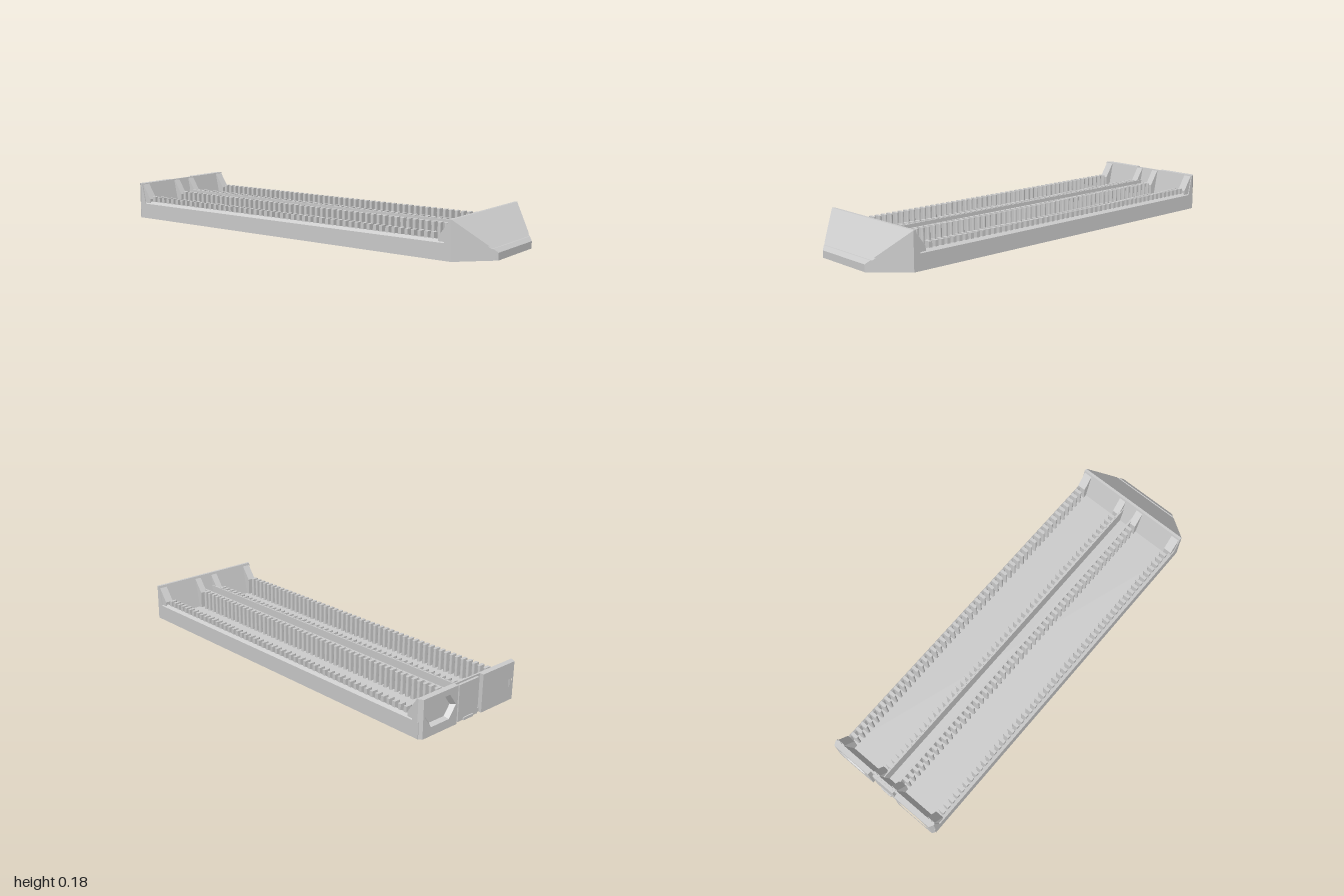
import * as THREE from 'three';
import { mergeGeometries } from 'three/addons/utils/BufferGeometryUtils.js';

const H = 0.177;        // height of the end walls
const FLOOR = 0.018;
const RACK = 0.113;     // height of the slotted racks

// Extrudes a [z, y] profile along x, from x0 to x1.
function bar(points, x0, x1) {
  const shape = new THREE.Shape(points.map(([z, y]) => new THREE.Vector2(z, y)));
  const geo = new THREE.ExtrudeGeometry(shape, { depth: x1 - x0, bevelEnabled: false });
  return geo.rotateY(-Math.PI / 2).translate(x1, 0, 0);
}

function box(x0, x1, y0, y1, z0, z1) {
  return new THREE.BoxGeometry(x1 - x0, y1 - y0, z1 - z0)
    .translate((x0 + x1) / 2, (y0 + y1) / 2, (z0 + z1) / 2);
}

// Moves every vertex by a rule and refreshes the normals.
function reshape(geo, rule) {
  const p = geo.attributes.position;
  const v = new THREE.Vector3();
  for (let i = 0; i < p.count; i++) {
    v.fromBufferAttribute(p, i);
    rule(v);
    p.setXYZ(i, v.x, v.y, v.z);
  }
  geo.computeVertexNormals();
  return geo;
}

export function createModel() {
  const model = new THREE.Group();
  const grey = new THREE.MeshStandardMaterial({ color: 0xcccccc });
  grey.name = 'light grey';
  const add = (name, geo) => {
    const mesh = new THREE.Mesh(geo, grey);
    mesh.name = name;
    model.add(mesh);
  };

  add('floor', box(-0.3, 0.3, 0, FLOOR, -0.985, 0.855));

  // Outer walls with a sloping top, and the two walls of the centre channel
  for (const s of [-1, 1]) {
    const outline = [[0.285, 0], [0.3, 0], [0.3, 0.075], [0.285, 0.088]];
    const shape = new THREE.Shape(outline.map(([x, y]) => new THREE.Vector2(s * x, y)));
    const wall = new THREE.ExtrudeGeometry(shape, { depth: 1.84, bevelEnabled: false });
    add('sideWall', wall.translate(0, 0, -0.985));
    const c = s * 0.035;
    add('channelWall', box(c - 0.005, c + 0.005, 0, RACK - 0.002, -0.96, 0.83));
  }

  // Rows of round-nosed teeth that form the slots
  const r = 0.008;
  const toothRow = (x, direction) => {
    const length = 0.035;
    const plan = new THREE.Shape();
    plan.moveTo(0, -r);
    plan.lineTo(length - r, -r);
    plan.absarc(length - r, 0, r, -Math.PI / 2, Math.PI / 2, false);
    plan.lineTo(0, r);
    const tooth = new THREE.ExtrudeGeometry(plan, {
      depth: RACK - 0.01, bevelEnabled: false, curveSegments: 6,
    }).rotateX(-Math.PI / 2);
    if (direction < 0) tooth.rotateY(Math.PI);
    const teeth = [];
    for (let i = 0; i < 52; i++) teeth.push(tooth.clone().translate(x, 0.01, -0.9 + i * 0.0325));
    return mergeGeometries(teeth);
  };
  for (const s of [-1, 1]) {
    add('outerTeeth', toothRow(s * 0.287, -s));
    add('innerTeeth', toothRow(s * 0.036, s));
  }

  // End walls with sloping inner faces
  add('frontWall', bar([[0.855, 0], [0.855, H], [0.842, H], [0.808, FLOOR], [0.808, 0]], -0.3, 0.3));
  add('backWall', bar([[-0.98, 0], [-0.938, 0], [-0.938, FLOOR], [-0.972, H], [-0.98, H]], -0.3, 0.3));

  // Gussets where the walls and racks meet the ends
  const frontGusset = [[0.85, 0.01], [0.85, 0.165], [0.838, 0.165], [0.79, 0.1], [0.79, 0.01]];
  const backGusset = [[-0.975, 0.01], [-0.92, 0.01], [-0.92, 0.1], [-0.968, 0.172], [-0.975, 0.172]];
  for (const [x0, x1] of [[-0.295, -0.254], [-0.07, -0.035], [0.035, 0.07], [0.254, 0.295]]) {
    add('frontGusset', bar(frontGusset, x0, x1));
    add('backGusset', bar(backGusset, x0, x1));
  }

  // Back plates with tapered six-sided pockets and chamfered outer corners
  const cy = 0.095;
  for (const s of [-1, 1]) {
    const cx = s * 0.185;
    const plate = new THREE.Shape();
    plate.moveTo(s * 0.08, 0);
    plate.lineTo(s * 0.3, 0);
    plate.lineTo(s * 0.3, H);
    plate.lineTo(s * 0.08, H);
    const pocket = [[-0.095, 0], [-0.055, 0.055], [0.055, 0.055], [0.095, 0], [0.055, -0.055], [-0.055, -0.055]];
    plate.holes.push(new THREE.Path(pocket.map(([x, y]) => new THREE.Vector2(cx + x, cy + y))));
    const geo = new THREE.ExtrudeGeometry(plate, { depth: 0.02, bevelEnabled: false }).translate(0, 0, -1);
    add('backPlate', reshape(geo, (v) => {
      const back = v.z < -0.999;
      const inPocket = Math.abs(v.x - cx) < 0.1 && Math.abs(v.y - cy) < 0.06;
      if (back && Math.abs(v.x) > 0.299) v.x = s * 0.288;
      if (!back && inPocket) {
        v.x = cx + (v.x - cx) * 0.82;
        v.y = cy + (v.y - cy) * 0.82;
      }
    }));
  }

  // Recessed panel between the back plates, with a slit at each side
  add('backPanel', box(-0.062, 0.062, 0, H - 0.008, -0.992, -0.978));
  add('backPanelLip', box(-0.03, 0.03, 0, 0.012, -0.998, -0.99));

  // Hollow wedge nose, open underneath, tapering in plan
  const halfWidth = (z) => 0.3 - (z - 0.855) * 0.986;
  const slope = [
    [1, 0], [1, 0.033], [0.983, 0.05], [0.977, 0.05],
    [0.967, 0.06], [0.973, 0.06], [0.855, H],
  ];
  const shell = [...slope, [0.855, 0.158], [0.988, 0.026], [0.988, 0]];
  add('noseSlope', reshape(bar(shell, -1, 1), (v) => { v.x *= halfWidth(v.z); }));
  const cheek = [...slope, [0.855, 0]];
  const t = 0.012;
  add('noseLeftCheek', reshape(bar(cheek, 0, 1), (v) => { v.x = halfWidth(v.z) - t * (1 - v.x); }));
  add('noseRightCheek', reshape(bar(cheek, 0, 1), (v) => { v.x = t * v.x - halfWidth(v.z); }));

  return model;
}
